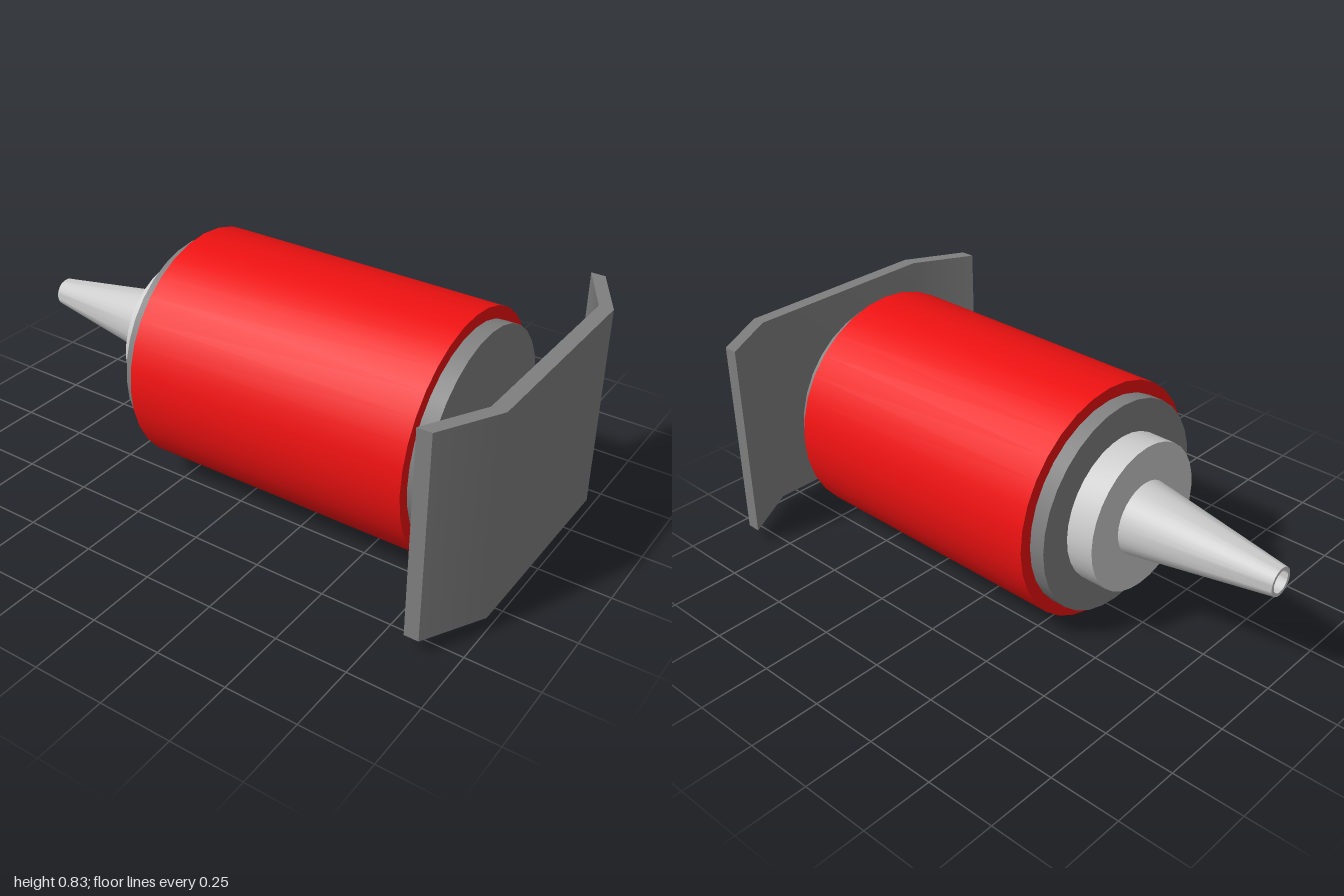
import * as THREE from 'three';
import { toCreasedNormals } from 'three/addons/utils/BufferGeometryUtils.js';

const AXIS_Y = 0.415; // height of the common axis
const SIDES = 32;

export function createModel() {
  const model = new THREE.Group();
  const grey = new THREE.MeshStandardMaterial({ color: 0xcccccc });
  const dark = new THREE.MeshStandardMaterial({ color: 0x7f7f7f });
  const red = new THREE.MeshStandardMaterial({ color: 0xee1111 });

  const add = (name, geometry, material) => {
    const mesh = new THREE.Mesh(geometry, material);
    mesh.name = name;
    model.add(mesh);
    return mesh;
  };

  // Turned part along x from [radius, x] pairs
  const turned = (name, profile, material) => {
    const points = profile.map(([r, x]) => new THREE.Vector2(r, x));
    const geometry = toCreasedNormals(new THREE.LatheGeometry(points, SIDES), 0.6);
    geometry.rotateZ(-Math.PI / 2).translate(0, AXIS_Y, 0);
    return add(name, geometry, material);
  };
  const drum = (name, r, x0, x1, material) =>
    turned(name, [[0, x0], [r, x0], [r, x1], [0, x1]], material);

  // Hollow tapered nozzle
  turned('nozzle', [[0.11, -0.48], [0.038, -1], [0.05, -1], [0.13, -0.48]], grey);

  // Body stack along the axis
  drum('collar', 0.26, -0.48, -0.38, grey);
  drum('core', 0.372, -0.38, 0.765, dark);
  drum('sleeve', 0.415, -0.325, 0.71, red);
  drum('rod', 0.072, 0.765, 0.96, grey);

  // Bent end plate: plan outline (x, z) extruded upwards
  const outline = [
    [0.885, -0.572], [1, -0.365], [1, 0.365], [0.885, 0.572],
    [0.835, 0.572], [0.95, 0.365], [0.95, -0.365], [0.835, -0.572],
  ].map(([x, z]) => new THREE.Vector2(x, z));
  const plate = new THREE.ExtrudeGeometry(new THREE.Shape(outline), { depth: 0.725, bevelEnabled: false });
  plate.rotateX(-Math.PI / 2).translate(0, 0.055, 0);
  // The shallow bends are shaded softly, the edges stay sharp
  add('endPlate', toCreasedNormals(plate, 0.7), dark);

  return model;
}
